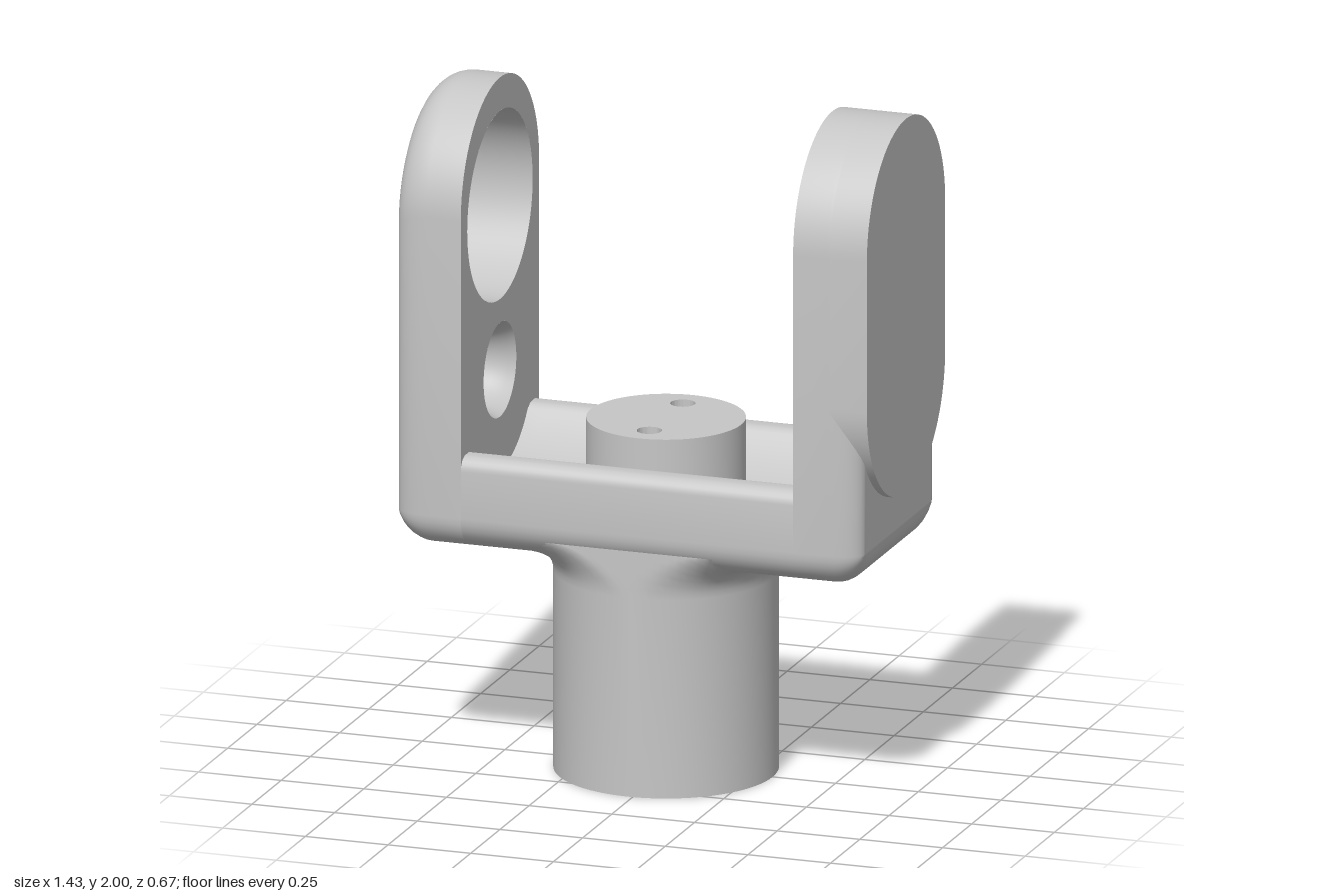
import * as THREE from 'three';
import { toCreasedNormals } from 'three/addons/utils/BufferGeometryUtils.js';

const R = 0.1, HALF = 0.335, ARCH_Y = 1.665;          // edge fillet, half depth, arm top arc centre
const LEFT_OUT = -0.72, LEFT_IN = -0.515, RIGHT_IN = 0.49, RIGHT_OUT = 0.69, MID = -0.0125;
const EYE = { y: 1.62, r: 0.28 };                     // large bearing hole
const TAU = Math.PI * 2;
const V = (x, y, z) => new THREE.Vector3(x, y, z);

// Surface through rows of points, skipping collapsed triangles
function grid(rows) {
  const pos = [];
  const tri = (a, b, c) => {
    const n = b.clone().sub(a).cross(c.clone().sub(a));
    if (n.length() > 1e-9) for (const p of [a, b, c]) pos.push(p.x, p.y, p.z);
  };
  for (let i = 0; i + 1 < rows.length; i++) {
    for (let j = 0; j + 1 < rows[i].length; j++) {
      const a = rows[i][j], b = rows[i][j + 1], c = rows[i + 1][j + 1], d = rows[i + 1][j];
      tri(a, b, c);
      tri(a, c, d);
    }
  }
  const g = new THREE.BufferGeometry();
  g.setAttribute('position', new THREE.Float32BufferAttribute(pos, 3));
  return toCreasedNormals(g, 0.6);
}

// Points [z, y] on a circular or elliptical arc
function arc(cz, cy, r, a0, a1, n, ry = r) {
  return Array.from({ length: n + 1 }, (_, i) => {
    const a = a0 + (a1 - a0) * i / n;
    return [cz + r * Math.cos(a), cy + ry * Math.sin(a)];
  });
}

// Arm outline in the zy plane; k runs from the full outline (0) to the rim of the eye (1)
function outline(k) {
  const w = HALF + (EYE.r - HALF) * k, top = ARCH_Y + (EYE.y - ARCH_Y) * k;
  const c = HALF - R, low = 0.68 + R;
  return [
    ...arc(0, top, w, 0, Math.PI, 48),
    ...arc(-c, low, w - c, Math.PI, Math.PI * 1.5, 8, R * (1 - k)),
    ...arc(c, low, w - c, Math.PI * 1.5, TAU, 8, R * (1 - k)), [w, top],
  ];
}

const toShape = (pts) => new THREE.Shape(pts.map(([z, y]) => new THREE.Vector2(z, y)));
const circlePath = (u, v, r) => new THREE.Path().absarc(u, v, r, 0, TAU, true);

// Flat face across x, facing +x (dir = 1) or -x (dir = -1)
function face(shape, x, dir, holes = []) {
  for (const [y, r] of holes) shape.holes.push(circlePath(0, y, r));
  const g = new THREE.ShapeGeometry(shape, 48);
  g.rotateY(Math.PI / 2);
  g.scale(1, 1, -1);                                  // shape u becomes +z
  if (dir > 0) {
    const ix = g.index.array;
    for (let i = 0; i < ix.length; i += 3) [ix[i], ix[i + 1]] = [ix[i + 1], ix[i]];
  }
  g.translate(x, 0, 0);
  const out = g.toNonIndexed();
  out.computeVertexNormals();
  return out;
}

// Tube wall along x from [x, radius] steps
const bore = (y, steps) => grid(steps.map(([x, r]) =>
  arc(0, y, r, 0, TAU, 64).map(([pz, py]) => V(x, py, pz))));

// Arm side surface from the inner face to a rounded outer edge
function armShell(inX, outX) {
  const rows = [outline(0).map(([z, y]) => V(inX, y, z))];
  for (let i = 0; i <= 8; i++) {
    const a = i / 8 * Math.PI / 2;
    const x = outX + Math.sign(inX - outX) * R * (1 - Math.sin(a));
    rows.push(outline(1 - Math.cos(a)).map(([z, y]) => V(x, y, z)));
  }
  return grid(rows);
}

// Rectangular sheet with a round hole, height given by a function of z
function sheet(hx, hz, hole, height) {
  const edge = [], n = 24;
  const corners = [[hx, -hz], [hx, hz], [-hx, hz], [-hx, -hz], [hx, -hz]];
  for (let k = 0; k < 4; k++) for (let i = 0; i < n; i++) {
    const t = i / n, [a, b] = [corners[k], corners[k + 1]];
    edge.push([a[0] + (b[0] - a[0]) * t, a[1] + (b[1] - a[1]) * t]);
  }
  edge.push(edge[0]);
  return grid(Array.from({ length: 9 }, (_, i) => edge.map(([x, z]) => {
    const l = Math.hypot(x, z), s = hole / l + (1 - hole / l) * i / 8;
    return V(MID + x * s, height(z * s), z * s);
  })));
}

export function createModel() {
  // Open surfaces are used throughout, so both sides show
  const grey = new THREE.MeshStandardMaterial({ color: 0xc6c6c6, side: THREE.DoubleSide });
  grey.name = 'machined grey';
  const model = new THREE.Group();
  model.name = 'clevisFork';
  const group = (name) => {
    const g = new THREE.Group();
    g.name = name;
    model.add(g);
    return g;
  };
  const add = (parent, name, geometry) => {
    const m = new THREE.Mesh(geometry, grey);
    m.name = name;
    parent.add(m);
    return m;
  };

  // Open-eyed arm: the rounded outer edge runs up to the rim of the eye
  const eyeArm = group('eyeArm');
  add(eyeArm, 'eyeArmShell', armShell(LEFT_IN, LEFT_OUT));
  add(eyeArm, 'eyeArmInnerFace', face(toShape(outline(0)), LEFT_IN, 1, [[EYE.y, EYE.r], [1.13, 0.14]]));
  const lower = outline(1).filter(([, y]) => y < 1);
  const outer = toShape([...lower, ...arc(0, EYE.y, EYE.r, 0, -Math.PI, 48)]);
  add(eyeArm, 'eyeArmOuterFace', face(outer, LEFT_OUT, -1, [[1.13, 0.14]]));
  add(eyeArm, 'eyeWall', bore(EYE.y, [[LEFT_IN, EYE.r], [LEFT_OUT, EYE.r]]));
  const flare = Array.from({ length: 11 }, (_, i) => {
    const t = i / 10;
    return [LEFT_IN + (LEFT_OUT - LEFT_IN) * t, 0.11 + 0.03 * (2 * t - 1) ** 2];
  });
  add(eyeArm, 'smallHoleWall', bore(1.13, flare));

  // Closed arm with a flat outer pad and an inner pocket
  const padArm = group('padArm');
  add(padArm, 'padArmShell', armShell(RIGHT_IN, RIGHT_OUT));
  add(padArm, 'padArmOuterFace', face(toShape(outline(1)), RIGHT_OUT, 1));
  add(padArm, 'padArmInnerFace', face(toShape(outline(0)), RIGHT_IN, -1, [[EYE.y, EYE.r]]));
  const stadium = [
    ...arc(0, ARCH_Y, HALF, 0, Math.PI, 40), ...arc(0, 1.22, HALF, Math.PI, TAU, 40), [HALF, ARCH_Y],
  ];
  add(padArm, 'outerPadEdge', grid([0.6, 0.713].map((x) => stadium.map(([z, y]) => V(x, y, z)))));
  add(padArm, 'outerPadFace', face(toShape(stadium.slice(0, -1)), 0.713, 1));
  add(padArm, 'pocketWall', bore(EYE.y, [[RIGHT_IN, EYE.r], [0.59, EYE.r]]));
  const disc = (r) => toShape(arc(0, EYE.y, r, 0, TAU, 64).slice(0, -1));
  add(padArm, 'pocketFloor', face(disc(EYE.r), 0.59, -1));
  add(padArm, 'hubFace', face(disc(0.215), 0.494, -1, [[EYE.y, 0.055]]));
  add(padArm, 'hubWall', bore(EYE.y, [[0.59, 0.215], [0.494, 0.215]]));
  add(padArm, 'hubHoleWall', bore(EYE.y, [[0.494, 0.055], [0.59, 0.055]]));

  // Bridge: two rounded rails, a scooped trough and a flat underside
  const bridge = group('bridge');
  const half = (RIGHT_IN - LEFT_IN) / 2;
  const trough = (z) => 1.13 - Math.sqrt(0.09 - z * z);
  const rail = [
    [HALF - R, 0.68], ...arc(HALF - R, 0.68 + R, R, -Math.PI / 2, 0, 8),
    ...arc(HALF - 0.04, 0.92, 0.04, 0, Math.PI / 2, 6),
    ...arc(0.27, 0.925, 0.035, Math.PI / 2, Math.PI * 0.8, 4), [0.24, trough(0.24)],
  ];
  for (const s of [1, -1]) {
    const rows = [LEFT_IN, RIGHT_IN].map((x) => rail.map(([z, y]) => V(x, y, s * z)));
    add(bridge, s > 0 ? 'frontRail' : 'backRail', grid(s > 0 ? rows.reverse() : rows));
  }
  add(bridge, 'trough', sheet(half, 0.24, 0.21, trough));
  add(bridge, 'underside', sheet(half, HALF - R, 0.213, () => 0.68));

  // Hollow stem whose flare follows the rounded lower edges of the bridge
  const stem = group('stem');
  stem.position.x = MID;
  const flareY = 0.59;
  const profile = [
    [0.213, 0.83], [0.213, 0], [0.322, 0], [0.322, flareY],
    ...arc(0.412, flareY, 0.09, Math.PI, Math.PI / 2, 8).slice(1),
  ].map(([r, y]) => new THREE.Vector2(r, y));
  const tube = new THREE.LatheGeometry(profile, 96);
  const p = tube.attributes.position;
  for (let i = 0; i < p.count; i++) {
    const z = THREE.MathUtils.clamp(p.getZ(i), -0.322, 0.322), y = p.getY(i);
    const over = Math.max(0, Math.abs(z) - (HALF - R));
    const rise = R - Math.sqrt(R * R - over * over);
    p.setZ(i, z);
    if (y > flareY && y < 0.7) p.setY(i, y + rise * (y - flareY) / 0.09);
  }
  add(stem, 'stemTube', toCreasedNormals(tube, 0.6));

  // Round boss with two drilled holes
  const bossShape = new THREE.Shape().absarc(0, 0, 0.228, 0, TAU, false);
  for (const s of [1, -1]) bossShape.holes.push(circlePath(0, s * 0.143, 0.036));
  const boss = new THREE.ExtrudeGeometry(bossShape, { depth: 0.24, bevelEnabled: false, curveSegments: 48 });
  boss.rotateX(-Math.PI / 2);
  add(model, 'boss', toCreasedNormals(boss, 0.6)).position.set(MID, 0.8, 0);
  return model;
}
